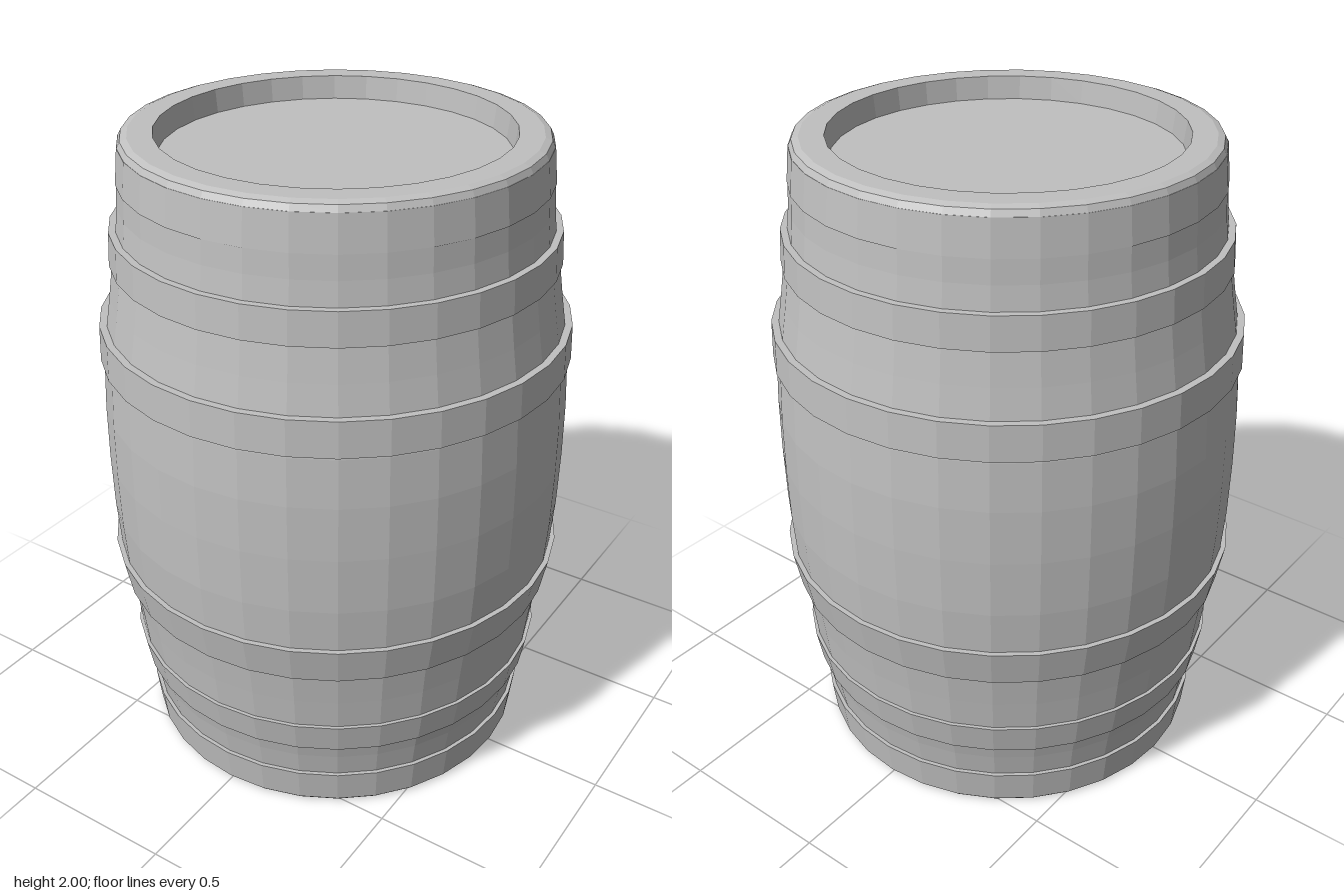
import * as THREE from 'three';

const SIDES = 32;

export function createModel() {
  const group = new THREE.Group();
  const grey = new THREE.MeshStandardMaterial({ color: 0xc0c0c0, flatShading: true });
  grey.name = 'plain grey';

  // Turns [radius, height] pairs around the y axis
  const turn = (name, profile) => {
    const points = profile.map(([r, y]) => new THREE.Vector2(r, y));
    const mesh = new THREE.Mesh(new THREE.LatheGeometry(points, SIDES), grey);
    mesh.name = name;
    group.add(mesh);
  };

  // Recessed base and bottom rim
  turn('base', [[0, 0.035], [0.535, 0.035], [0.545, 0.02], [0.57, 0.02], [0.575, 0], [0.608, 0], [0.617, 0.012]]);

  // Bulging wooden body
  turn('staves', [
    [0.615, 0.01], [0.618, 0.12], [0.632, 0.2], [0.647, 0.27], [0.659, 0.35],
    [0.67, 0.45], [0.684, 0.56], [0.704, 0.68], [0.713, 0.82], [0.716, 1.0],
    [0.714, 1.17], [0.706, 1.32], [0.69, 1.44], [0.675, 1.53], [0.66, 1.63],
    [0.641, 1.73], [0.633, 1.8], [0.628, 1.88], [0.619, 1.97],
  ]);

  // Top rim and its inner wall
  turn('rim', [[0.623, 1.9], [0.619, 1.975], [0.61, 1.993], [0.59, 2], [0.518, 2], [0.51, 1.93]]);
  turn('lid', [[0.51, 1.93], [0, 1.93]]);

  // Hoops: bottom height, bottom radius, top height, top radius
  const hoops = [
    ['bottomHoop', 0.01, 0.617, 0.12, 0.63],
    ['lowerHoop', 0.25, 0.652, 0.35, 0.67],
    ['lowerBellyHoop', 0.56, 0.697, 0.68, 0.72],
    ['upperBellyHoop', 1.33, 0.716, 1.44, 0.712],
    ['upperHoop', 1.63, 0.668, 1.73, 0.662],
    ['topHoop', 1.87, 0.631, 1.975, 0.62],
  ];
  for (const [name, y0, r0, y1, r1] of hoops) {
    turn(name, [[r0 - 0.04, y0], [r0, y0], [r1, y1], [r1 - 0.04, y1]]);
  }
  return group;
}
